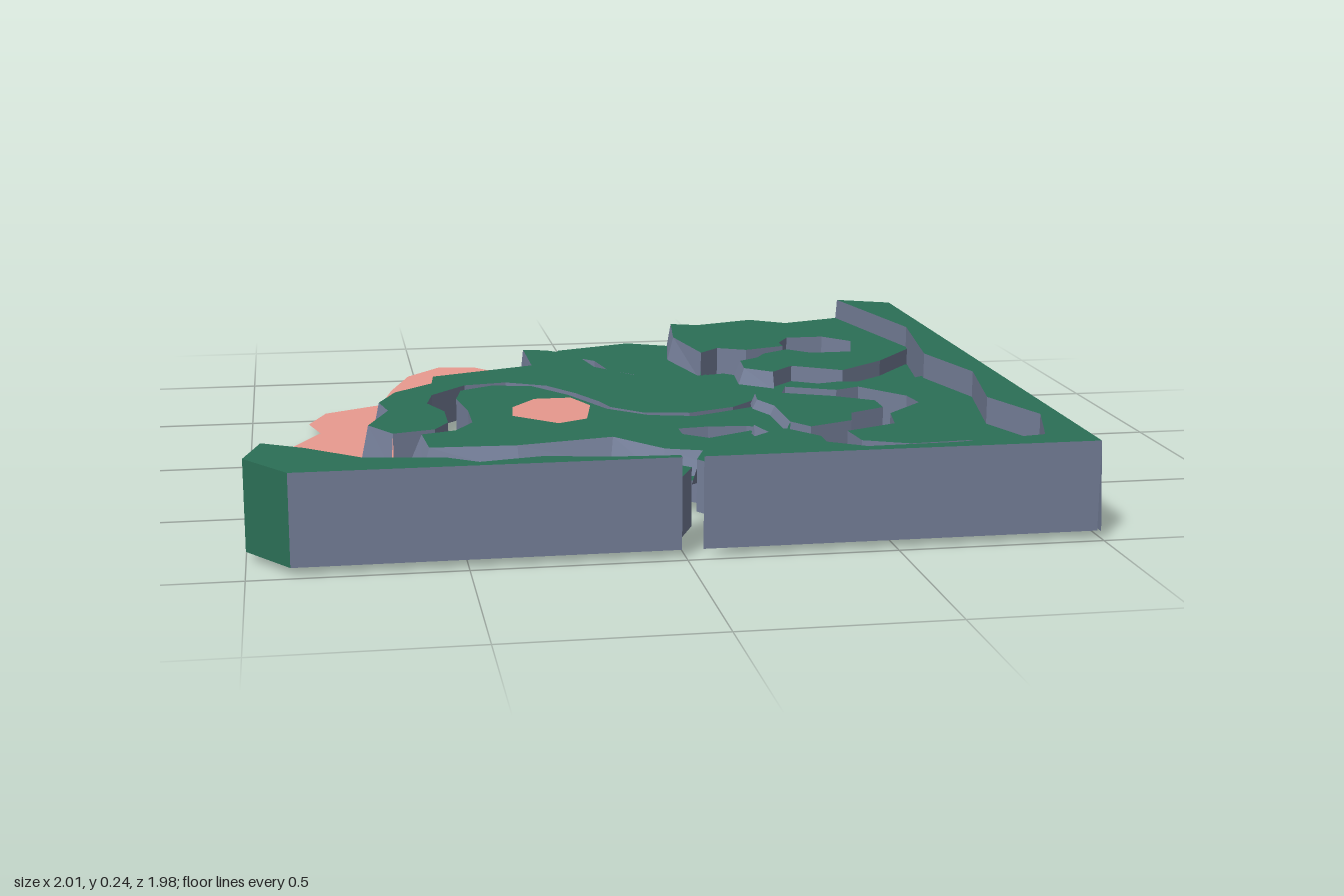
import * as THREE from 'three';
import { mergeGeometries } from 'three/addons/utils/BufferGeometryUtils.js';

const mat = (name, color) => new THREE.MeshStandardMaterial({ name, color, flatShading: true, side: THREE.DoubleSide });

// outlines are x, z pairs in hundredths of a unit
function points(list) {
  const out = [];
  for (let i = 0; i < list.length; i += 2) out.push(new THREE.Vector2(list[i] / 100, list[i + 1] / 100));
  return out;
}

// flat sheet whose height follows a rule
function sheet(pts, height) {
  const g = new THREE.ShapeGeometry(new THREE.Shape(pts.map(p => new THREE.Vector2(p.x, -p.y))));
  g.rotateX(-Math.PI / 2);
  const pos = g.attributes.position;
  for (let i = 0; i < pos.count; i++) pos.setY(i, height(pos.getX(i)));
  const flat = g.toNonIndexed();
  flat.computeVertexNormals();
  return flat;
}

// one cliff face from the upper edge a-b to the lower edge c-d
function cliff(a, b, c, d, top, base) {
  const up = p => [p.x, top, p.y];
  const down = p => [p.x, base, p.y];
  const g = new THREE.BufferGeometry();
  const v = [up(a), down(c), down(d), up(a), down(d), up(b)].flat();
  g.setAttribute('position', new THREE.Float32BufferAttribute(v, 3));
  g.computeVertexNormals();
  return g;
}

export function createModel() {
  const model = new THREE.Group();
  const grass = mat('grass green', 0x2b6f56);
  const rock = mat('slate rock', 0x757f99);
  const sand = mat('coral sand', 0xee9d92);

  const add = (name, geo, material, parent = model) => {
    const m = new THREE.Mesh(geo, material);
    m.name = name;
    parent.add(m);
  };

  // Grassy ground with rock cliffs. Each entry of edges gives the first and last
  // edge it covers, the foot height (null for no cliff) and the outward lean.
  function plateau(name, list, top, base, edges = [], grassyEdge = -1) {
    const group = new THREE.Group();
    group.name = name;
    const pts = points(list);
    const n = pts.length;
    const side = THREE.ShapeUtils.area(pts) > 0 ? 1 : -1;
    const normal = i => {
      const d = pts[(i + 1) % n].clone().sub(pts[i % n]).normalize();
      return new THREE.Vector2(d.y * side, -d.x * side);
    };
    const foot = (i, lean) =>
      pts[i % n].clone().addScaledVector(normal(i + n - 1).add(normal(i)).normalize(), lean);

    const faces = [];
    for (let i = 0; i < n; i++) {
      const rule = edges.find(e => i >= e[0] && i <= e[1]) || [i, i, base, 0];
      if (rule[2] === null) continue;
      const [j, k] = side > 0 ? [i + 1, i] : [i, i + 1];
      const face = cliff(pts[j % n], pts[k % n], foot(j, rule[3]), foot(k, rule[3]), top, rule[2]);
      if (i === grassyEdge) add('grassyFace', face, grass, group);
      else faces.push(face);
    }
    add('ground', sheet(pts, () => top), grass, group);
    add('cliffs', mergeGeometries(faces), rock, group);
    model.add(group);
  }

  // tall rims along the straight sides
  plateau('rightRim', [
    99, -83, 84, -90, 93, -43, 87, -5, 93, 20, 87, 50, 94, 70, 88, 90, 65, 94,
    28, 95, 20, 92, 5, 97, 4, 98, 99, 98], 0.24, 0.02,
  [[0, 0, 0.02, 0.02], [1, 1, 0.175, 0], [2, 2, 0.13, 0], [3, 9, 0.165, 0], [13, 13, 0.02, 0.01]]);
  plateau('frontRim', [
    -90, 98, -100, 84, -96, 70, -86, 76, -73, 87, -54, 90, -47, 95, -32, 92, -17, 95,
    -1, 96, -1, 98], 0.24, 0.02, [[2, 7, 0.08, 0.02], [8, 8, 0.165, 0]], 0);
  plateau('frontLedge', [
    -17, 95, -14, 85, -5, 83, 0, 79, 4, 83, -1, 94, -1, 97], 0.175, 0.03,
  [[0, 1, 0.08, 0.02], [6, 6, null]]);

  // northern ground in two steps
  plateau('backLowGround', [
    -8, -82, -6, -87, 17, -95, 31, -88, 29, -68, 33, -46, 32, -39, 22, -37, 14, -46,
    5, -57, 3, -70], 0.11, 0.02, [[0, 2, 0.02, 0.04], [3, 5, null]]);
  plateau('backHighGround', [
    30, -89, 38, -86, 56, -92, 66, -85, 84, -91, 95, -43, 80, -25, 66, -14, 53, -22,
    46, -15, 39, -21, 40, -31, 46, -35, 49, -40, 57, -45, 63, -39, 75, -39, 79, -54,
    72, -62, 61, -62, 57, -55, 57, -50, 45, -46, 37, -50, 31, -44, 27, -68], 0.18, 0.03,
  [[0, 3, 0.02, 0.03], [4, 4, null], [5, 8, 0.13, 0], [9, 10, 0.13, 0.02], [24, 25, 0.1, 0.02]]);

  // broad central ground
  plateau('centralGround', [
    -18, -78, -11, -76, -3, -68, 0, -50, 10, -37, 22, -32, 36, -35, 41, -30, 50, -30,
    96, -40, 92, -9, 78, 1, 62, -3, 46, 1, 37, 0, 30, 7, 17, 12, 5, 10, -3, 2, -5, -5,
    -10, -16, -17, -27, -28, -33, -40, -31, -50, -20, -52, -10, -48, 0, -48, 13, -52, 20,
    -63, 23, -69, 13, -63, -3, -65, -13, -60, -25, -49, -35, -48, -44, -18, -55], 0.135, 0.04,
  [[0, 5, 0.04, 0.015], [7, 12, null], [29, 35, 0.04, 0.02], [36, 36, 0.04, 0.01]]);

  // eastern ground around the winding channel
  plateau('eastGround', [
    46, 0, 62, -4, 78, -1, 92, -11, 96, 20, 96, 93, 65, 96, 28, 97, 14, 94, 24, 89, 24, 82,
    10, 79, 7, 74, 10, 66, 20, 59, 30, 50, 28, 42, 36, 48, 42, 56, 42, 62, 54, 70, 49, 78,
    55, 87, 73, 87, 81, 77, 78, 66, 62, 67, 51, 62, 50, 52, 64, 46, 66, 35, 77, 24, 76, 16,
    66, 3, 59, 6], 0.17, 0.04, [[0, 2, 0.13, 0.02], [3, 7, null], [13, 15, 0.08, 0.03]]);
  plateau('innerKnoll', [
    36, 7, 45, 8, 56, 13, 66, 20, 66, 28, 56, 33, 54, 41, 42, 46, 38, 40, 38, 22, 35, 14],
  0.17, 0.04, [[8, 10, 0.14, 0.015]]);

  // southern ground in two steps
  plateau('peninsula', [
    -56, 29, -47, 26, -42, 18, -42, 5, -44, -10, -42, -20, -33, -25, -22, -23, -13, -10,
    -5, 8, 5, 17, 17, 20, 30, 14, 38, 10, 40, 22, 40, 40, 34, 36, 28, 33, 18, 32, 10, 33,
    10, 39, 16, 44, 22, 41, 28, 38, 30, 42, 34, 47, 22, 60, 3, 53, -8, 39, -33, 44, -55, 43],
  0.145, 0.05, [[13, 14, null], [24, 25, null], [26, 30, 0.08, 0.03]]);
  plateau('southGround', [
    -57, 30, -63, 40, -66, 45, -65, 52, -73, 57, -87, 62, -92, 72, -73, 92, -47, 97, -16, 96,
    -15, 73, -7, 64, 6, 60, 10, 64, 20, 62, 26, 57, 0, 45, -10, 36, -55, 36], 0.085, 0.03,
  [[6, 8, null], [13, 18, null]]);

  // sandy shores and the bare patch on the peninsula
  add('westShore', sheet(points([
    -18, -78, -27, -79, -32, -87, -43, -93, -53, -85, -59, -68, -63, -51, -79, -48, -84, -37,
    -81, -25, -90, -11, -97, -7, -97, 2, -93, 17, -85, 24, -75, 27, -74, 30, -64, 25,
    -60, 18, -59, -10, -47, -38, -18, -53]), x => 0.09 + 0.08 * x), sand);
  add('southShore', sheet(points([
    -57, 30, -63, 35, -72, 38, -73, 50, -78, 56, -90, 57, -97, 66, -96, 71, -90, 73,
    -84, 66, -70, 60, -62, 53, -62, 44]), x => 0.12 + 0.123 * x), sand);
  add('barePatch', sheet(points([
    -23, -5, -13, -5, -9, 5, -12, 20, -20, 24, -31, 14, -30, 4]), () => 0.149), sand);

  return model;
}
